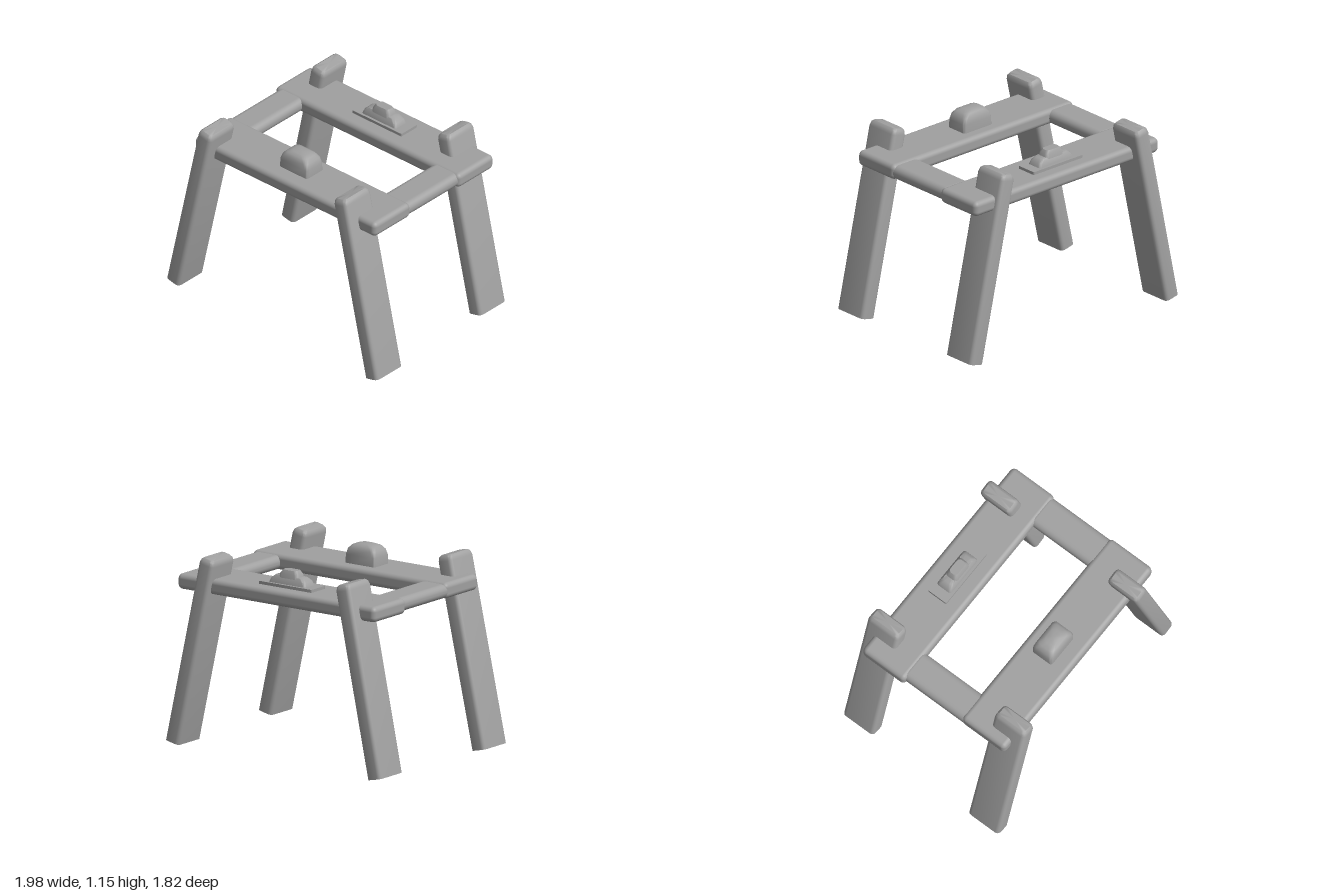
import * as THREE from 'three';
import { toCreasedNormals } from 'three/addons/utils/BufferGeometryUtils.js';
import { RoundedBoxGeometry } from 'three/addons/geometries/RoundedBoxGeometry.js';

// Lofts rounded rectangles [y, width, depth, cornerRadius] upward and closes both ends
function loft(sections, crease = 0.7) {
  const pos = [], index = [], arc = 4, n = 4 * (arc + 1);
  for (const [y, w, d, r] of sections) {
    for (let q = 0; q < 4; q++) {
      const sx = q === 0 || q === 3 ? 1 : -1, sz = q < 2 ? 1 : -1;
      for (let i = 0; i <= arc; i++) {
        const a = (q + i / arc) * Math.PI / 2;
        pos.push(sx * (w / 2 - r) + r * Math.cos(a), y, sz * (d / 2 - r) + r * Math.sin(a));
      }
    }
  }
  const last = sections.length - 1;
  for (let s = 0; s < last; s++) {
    for (let i = 0; i < n; i++) {
      const a = s * n + i, b = s * n + (i + 1) % n;
      index.push(a, a + n, b, b, a + n, b + n);
    }
  }
  const bottom = pos.length / 3;
  pos.push(0, sections[0][0], 0, 0, sections[last][0], 0);
  for (let i = 0; i < n; i++) {
    const j = (i + 1) % n;
    index.push(bottom, i, j, bottom + 1, last * n + j, last * n + i);
  }
  const g = new THREE.BufferGeometry();
  g.setAttribute('position', new THREE.Float32BufferAttribute(pos, 3));
  g.setIndex(index);
  return toCreasedNormals(g, crease);
}

export function createModel() {
  const model = new THREE.Group();
  model.name = 'trestleFrame';
  const grey = new THREE.MeshStandardMaterial({ color: 0xa0a0a0 });
  grey.name = 'grey';

  // The whole frame stands turned about the vertical axis
  const frame = new THREE.Group();
  frame.name = 'frame';
  frame.rotation.y = -Math.PI / 6;
  model.add(frame);

  const add = (name, geometry, x, y, z) => {
    const mesh = new THREE.Mesh(geometry, grey);
    mesh.name = name;
    mesh.position.set(x, y, z);
    frame.add(mesh);
    return mesh;
  };
  const slab = (name, x0, x1, y0, y1, z0, z1, r) =>
    add(name, new RoundedBoxGeometry(x1 - x0, y1 - y0, z1 - z0, 3, r),
      (x0 + x1) / 2, (y0 + y1) / 2, (z0 + z1) / 2);

  // Two long planks
  slab('frontPlank', -0.67, 0.755, 0.935, 1.03, 0.17, 0.49, 0.03);
  slab('backPlank', -0.69, 0.76, 0.932, 1.025, -0.55, -0.235, 0.03);

  // Short rounded bars joining the planks
  slab('rightCrossbar', -0.67, -0.47, 0.937, 1.022, -0.28, 0.22, 0.04);
  slab('leftCrossbar', 0.545, 0.75, 0.937, 1.022, -0.28, 0.22, 0.04);

  // Splayed legs: bottom x, top x, z
  const legs = [
    ['frontRightLeg', -0.775, -0.52, 0.452],
    ['frontLeftLeg', 0.795, 0.54, 0.457],
    ['backRightLeg', -0.735, -0.495, -0.505],
    ['backLeftLeg', 0.775, 0.52, -0.47],
  ];
  for (const [name, xb, xt, z] of legs) {
    const length = Math.hypot(xt - xb, 1.135);
    const geometry = loft([
      [0, 0.102, 0.225, 0.025],
      [length - 0.035, 0.104, 0.225, 0.025],
      [length - 0.012, 0.094, 0.215, 0.025],
      [length, 0.07, 0.19, 0.02],
    ]);
    add(name, geometry, xb, 0.012, z).rotation.z = -Math.atan2(xt - xb, 1.135);
  }

  // Domed knob on the front plank
  add('knob', loft([
    [-0.01, 0.22, 0.145, 0.015],
    [0.055, 0.22, 0.145, 0.02],
    [0.09, 0.2, 0.135, 0.025],
    [0.112, 0.16, 0.11, 0.03],
    [0.122, 0.1, 0.07, 0.03],
  ], 0.9), 0.02, 1.027, 0.317);

  // Stepped fitting on the back plank
  add('fittingBase', loft([
    [-0.01, 0.39, 0.135, 0.008],
    [0.02, 0.39, 0.135, 0.008],
  ]), 0.03, 1.023, -0.398);
  add('fittingStep', loft([
    [0, 0.27, 0.105, 0.015],
    [0.03, 0.25, 0.095, 0.02],
    [0.05, 0.2, 0.07, 0.02],
  ]), 0.03, 1.038, -0.398);
  add('fittingCrown', loft([
    [0, 0.15, 0.09, 0.02],
    [0.05, 0.13, 0.075, 0.02],
    [0.07, 0.1, 0.055, 0.02],
  ]), 0.03, 1.055, -0.398);

  return model;
}
